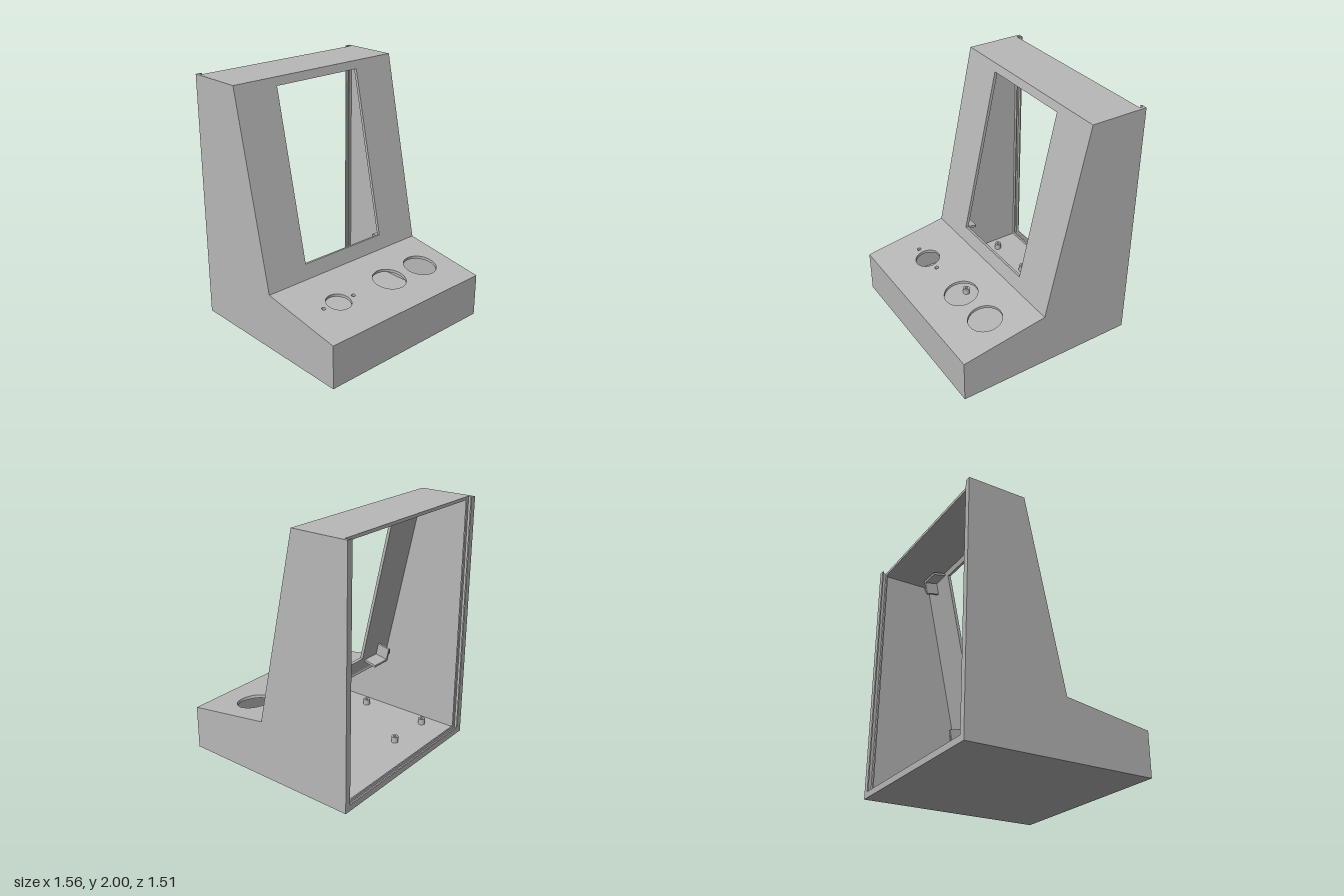
import * as THREE from 'three';

const T = 0.025;          // wall thickness
const W = 0.78;           // half width
const IN = W - T;         // half width inside
const FRONT = 0.755, BACK = -0.755;
const FOLD = { y: 0.465, z: 0.045 };   // where the two front panels meet
const TOP = { y: 2, z: -0.285 };
const LEDGE = 0.355;

export function createModel() {
  const plastic = new THREE.MeshStandardMaterial({ color: 0xb8b8b8 });
  const model = new THREE.Group();
  model.name = 'instrumentHousing';

  const add = (parent, name, geometry) => {
    const mesh = new THREE.Mesh(geometry, plastic);
    mesh.name = name;
    parent.add(mesh);
    return mesh;
  };
  // Box given by its lower and upper limits
  const box = (parent, name, x0, x1, y0, y1, z0, z1) =>
    add(parent, name, new THREE.BoxGeometry(x1 - x0, y1 - y0, z1 - z0))
      .position.set((x0 + x1) / 2, (y0 + y1) / 2, (z0 + z1) / 2);
  const rect = (C, x0, x1, y0, y1) => new C().moveTo(x0, y0).lineTo(x1, y0).lineTo(x1, y1).lineTo(x0, y1).closePath();
  const circle = (C, x, y, r) => new C().absarc(x, y, r, 0, Math.PI * 2);
  const extrude = (shape, depth) =>
    new THREE.ExtrudeGeometry(shape, { depth, bevelEnabled: false, curveSegments: 40 });
  const ring = (r, hole, depth) => {
    const s = circle(THREE.Shape, 0, 0, r);
    s.holes.push(circle(THREE.Path, 0, 0, hole));
    return extrude(s, depth);
  };

  // Side walls
  const profile = new THREE.Shape([
    [FRONT, 0], [FRONT, LEDGE], [FOLD.z, FOLD.y], [TOP.z, TOP.y], [BACK, TOP.y], [BACK, 0],
  ].map(([z, y]) => new THREE.Vector2(-z, y)));
  for (const [name, x] of [['leftWall', IN], ['rightWall', -W]]) {
    add(model, name, extrude(profile, T).rotateY(Math.PI / 2)).position.x = x;
  }

  // Floor, front wall and roof; the roof stops short to leave a slot for a rear cover
  box(model, 'floor', -IN, IN, 0, T, BACK, FRONT);
  box(model, 'frontWall', -IN, IN, T, LEDGE, FRONT - T, FRONT);
  box(model, 'roof', -IN, IN, TOP.y - T, TOP.y, -0.715, TOP.z);

  // Rear cover groove: outer lip and inner rail on both sides and the floor
  for (const [name, z0, z1, top] of [['coverLip', BACK, -0.745, 2], ['coverRail', -0.715, -0.705, 2 - T]]) {
    box(model, name + 'Left', IN - T, IN, T, top, z0, z1);
    box(model, name + 'Right', -IN, -IN + T, T, top, z0, z1);
    box(model, name + 'Bottom', -IN + T, IN - T, T, 2 * T, z0, z1);
  }

  // Sloping control panel with round cut-outs
  const control = new THREE.Group();
  control.name = 'controlPanelGroup';
  const tilt = Math.atan2(FOLD.y - LEDGE, FRONT - FOLD.z);
  control.position.set(0, LEDGE, FRONT);
  control.rotation.x = tilt - Math.PI / 2;
  model.add(control);
  const deck = rect(THREE.Shape, -IN, IN, 0, Math.hypot(FOLD.y - LEDGE, FRONT - FOLD.z) + T);
  for (const [x, r] of [[-0.55, 0.016], [-0.4, 0.1], [-0.25, 0.016], [0.14, 0.135], [0.495, 0.135]]) {
    deck.holes.push(circle(THREE.Path, x, 0.364, r));
  }
  add(control, 'controlPanel', extrude(deck, T).translate(0, 0, -T));

  // Leaning screen panel with its window
  const screen = new THREE.Group();
  screen.name = 'screenPanelGroup';
  screen.position.set(0, FOLD.y, FOLD.z);
  screen.rotation.x = -Math.atan2(FOLD.z - TOP.z, TOP.y - FOLD.y);
  model.add(screen);
  const low = 0.123, high = 1.503, mid = (low + high) / 2;
  const face = rect(THREE.Shape, -IN, IN, 0, Math.hypot(FOLD.z - TOP.z, TOP.y - FOLD.y));
  face.holes.push(rect(THREE.Path, -0.4, 0.4, low, high));
  add(screen, 'screenPanel', extrude(face, T).translate(0, 0, -T));

  // Corner brackets behind the window: shelf, upright and screw boss
  for (const sx of [-1, 1]) for (const sy of [-1, 1]) {
    const bracket = new THREE.Group();
    bracket.name = 'cornerBracket';
    bracket.position.set(sx * 0.52, mid + sy * 0.713, -T);
    screen.add(bracket);
    const part = (name, x, y, w, h, d) =>
      add(bracket, name, new THREE.BoxGeometry(w, h, d)).position.set(sx * x, sy * y, -d / 2);
    part('bracketShelf', 0, 0.01, 0.16, 0.02, 0.11);
    part('bracketUpright', 0.09, -0.04, 0.02, 0.12, 0.11);
    add(bracket, 'screwBoss', ring(0.027, 0.011, 0.09)).position.set(sx * 0.122, sy * -0.04, -0.09);
  }

  // Mounting posts on the floor
  for (const x of [-0.64, -0.245]) for (const z of [-0.46, 0.12]) {
    add(model, 'floorPost', ring(0.028, 0.012, 0.05).rotateX(-Math.PI / 2)).position.set(x, T, z);
  }

  return model;
}
